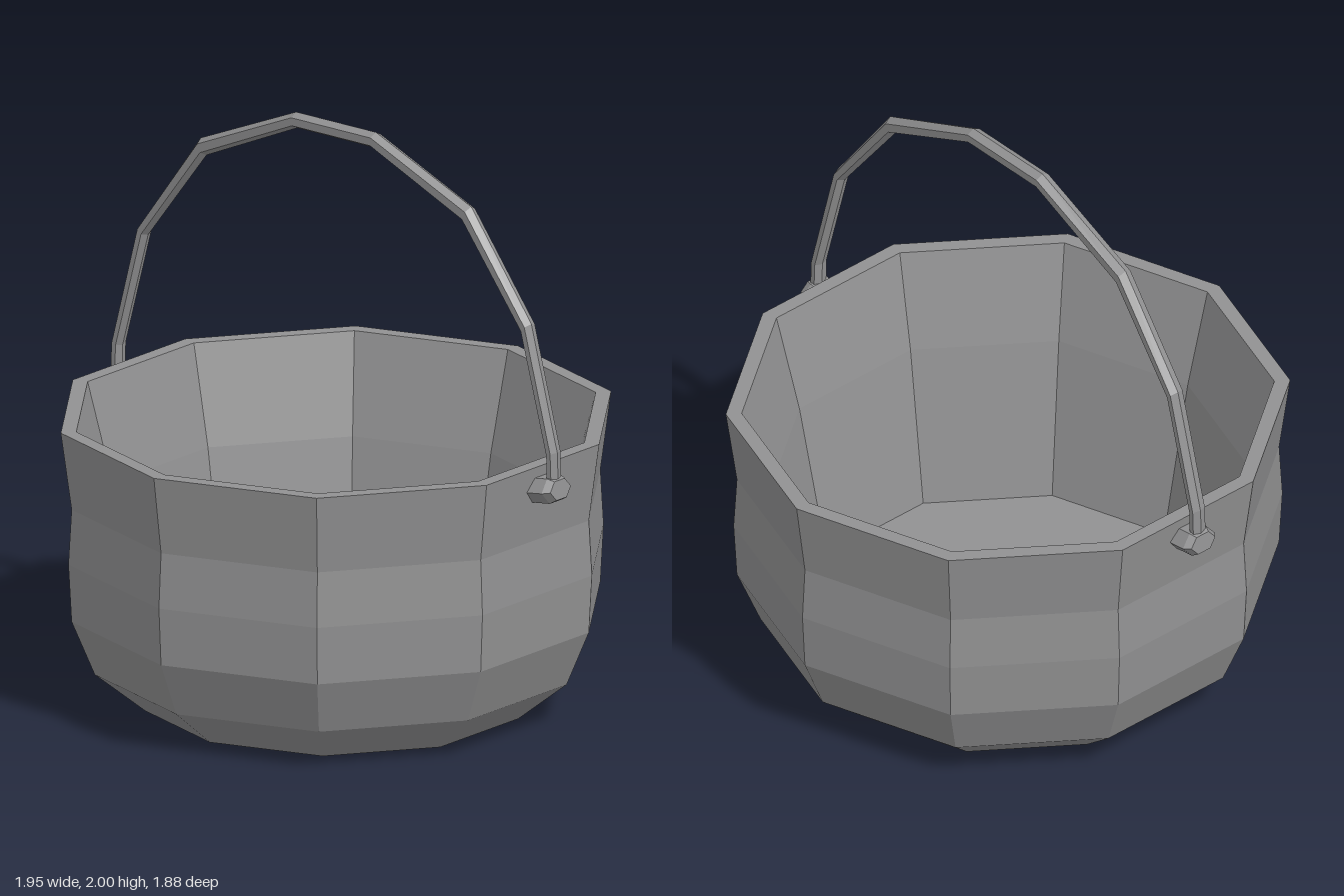
import * as THREE from 'three';

const iron = new THREE.MeshStandardMaterial({ color: 0x919192, flatShading: true });
iron.name = 'iron';

function lathe(profile, sides) {
  return new THREE.LatheGeometry(profile.map(([r, y]) => new THREE.Vector2(r, y)), sides);
}

// Hexagonal bar swept along a planar arch; each station gives its outer and inner ridge
function handleGeometry() {
  const half = [
    // outer x, y, inner x, y
    [0.962, 0.92, 0.926, 0.92],
    [0.957, 1.045, 0.923, 1.035],
    [0.845, 1.47, 0.813, 1.44],
    [0.585, 1.825, 0.56, 1.77],
    [0.172, 2.0, 0.168, 1.945],
  ];
  const mirrored = half.map(([a, b, c, d]) => [-a, b, -c, d]).reverse();
  const stations = [...half, ...mirrored];
  const sides = 6;
  const positions = [];
  const index = [];
  stations.forEach(([ox, oy, ix, iy], i) => {
    for (let j = 0; j < sides; j++) {
      const a = (j / sides) * Math.PI * 2;
      const t = (1 - Math.cos(a)) / 2;
      positions.push(ox + (ix - ox) * t, oy + (iy - oy) * t, 0.031 * Math.sin(a));
      if (i < stations.length - 1) {
        const p = i * sides + j;
        const q = i * sides + ((j + 1) % sides);
        index.push(p, p + sides, q, q, p + sides, q + sides);
      }
    }
  });
  const g = new THREE.BufferGeometry();
  g.setAttribute('position', new THREE.Float32BufferAttribute(positions, 3));
  g.setIndex(index);
  g.computeVertexNormals();
  return g;
}

export function createModel() {
  const model = new THREE.Group();
  model.name = 'cauldron';
  const add = (geometry, name) => {
    const mesh = new THREE.Mesh(geometry, iron);
    mesh.name = name;
    model.add(mesh);
    return mesh;
  };

  // Ten-sided pot: underside, outer wall, rim, inner wall and floor
  add(lathe([
    [0, 0], [0.652, 0], [0.825, 0.14], [0.904, 0.33], [0.915, 0.53], [0.904, 0.72],
    [0.941, 0.99], [0.888, 0.99], [0.8, 0.65], [0.696, 0.09], [0, 0.09],
  ], 10), 'pot');

  add(handleGeometry(), 'handle');

  // Six-sided lugs with a bevelled outer end, tilted slightly upward
  for (const side of [1, -1]) {
    const g = lathe([[0, -0.07], [0.07, -0.07], [0.07, 0.02], [0.053, 0.044], [0, 0.044]], 6);
    g.scale(0.7, 1, 1);
    const lug = add(g, side > 0 ? 'leftLug' : 'rightLug');
    lug.position.set(side * 0.928, 0.914, 0);
    lug.rotation.z = side * (-Math.PI / 2 + 0.14);
  }
  return model;
}
